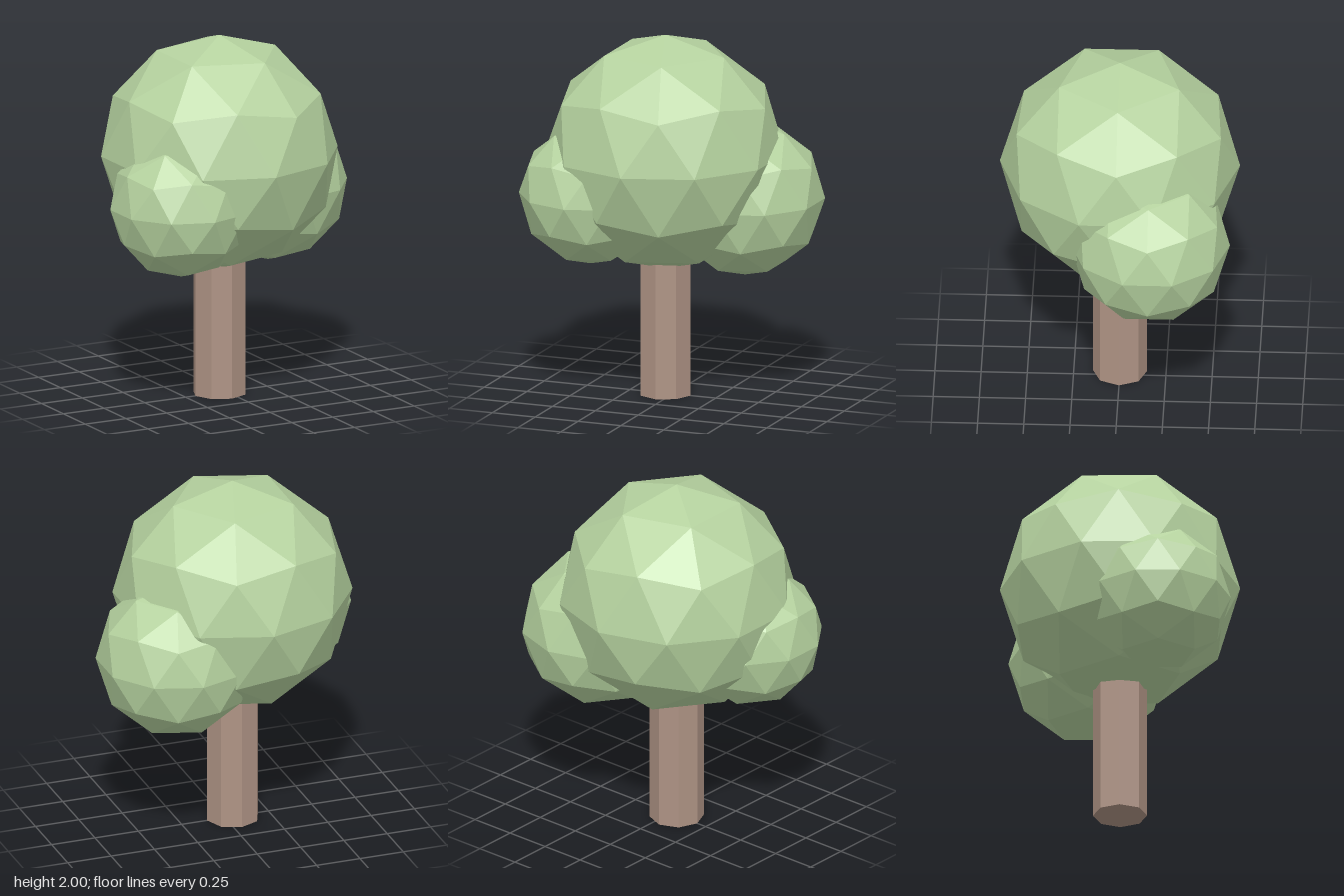
import * as THREE from 'three';

export function createModel() {
  const tree = new THREE.Group();
  tree.name = 'tree';

  const leafGreen = new THREE.MeshStandardMaterial({ color: 0xb5d29f, flatShading: true });
  leafGreen.name = 'leafGreen';
  const barkBrown = new THREE.MeshStandardMaterial({ color: 0xae9384, flatShading: true });
  barkBrown.name = 'barkBrown';

  // Eight-sided trunk, its top hidden inside the crown
  const trunkHeight = 1.0;
  const trunk = new THREE.Mesh(
    new THREE.CylinderGeometry(0.147, 0.147, trunkHeight, 8),
    barkBrown
  );
  trunk.name = 'trunk';
  trunk.position.set(-0.043, trunkHeight / 2, 0);
  tree.add(trunk);

  // Foliage balls: icospheres tilted so that one corner points straight up
  const poleTilt = -Math.atan(2 / (1 + Math.sqrt(5)));
  function addFoliage(name, radius, x, y, z) {
    const geometry = new THREE.IcosahedronGeometry(radius, 1).rotateZ(poleTilt);
    const ball = new THREE.Mesh(geometry, leafGreen);
    ball.name = name;
    ball.position.set(x, y, z);
    tree.add(ball);
  }
  addFoliage('mainCrown', 0.65, -0.043, 1.35, 0);
  addFoliage('rightFoliage', 0.39, -0.392, 1.132, 0.215);
  addFoliage('leftFoliage', 0.434, 0.35, 1.092, -0.176);

  return tree;
}
